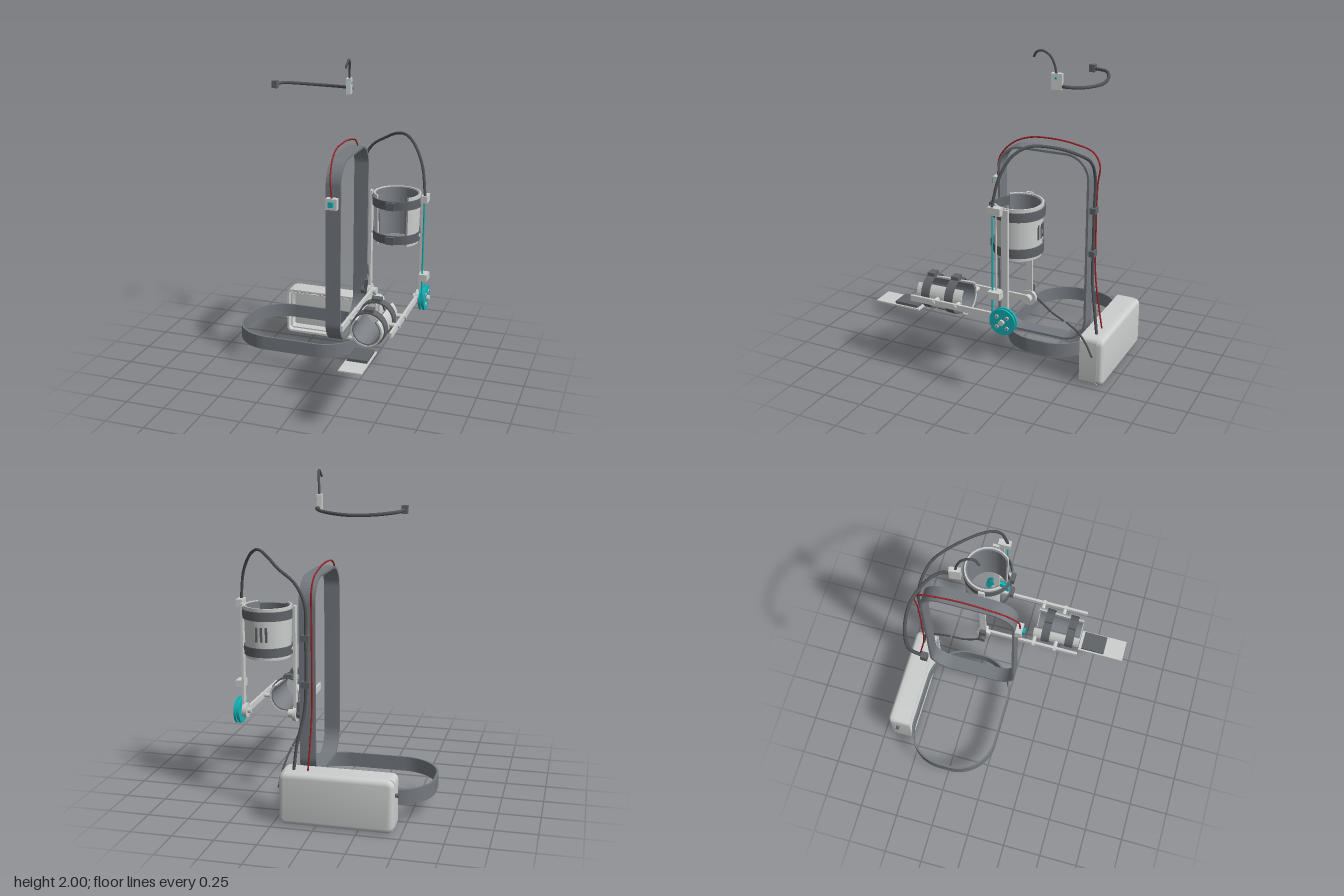
import * as THREE from 'three';
import { toCreasedNormals } from 'three/addons/utils/BufferGeometryUtils.js';

const mat = (name, color, side = THREE.FrontSide) => {
  const m = new THREE.MeshStandardMaterial({ color, side });
  m.name = name;
  return m;
};

export function createModel() {
  const root = new THREE.Group();
  root.name = 'wearableArmSupport';
  const shell = mat('lightGreyShell', 0xcdcfcf);
  const webbing = mat('greyWebbing', 0x757a80);
  const dark = mat('darkGreyFitting', 0x606468);
  const liner = mat('greyLiner', 0x7c8085);
  const cable = mat('charcoalCable', 0x505356);
  const teal = mat('tealAccent', 0x12b4b8);
  const red = mat('redCable', 0x9c2226);

  const add = (name, geo, material, parent = root) => {
    const m = new THREE.Mesh(geo, material);
    m.name = name;
    parent.add(m);
    return m;
  };
  // Box given by its minimum and maximum corners
  const box = (name, a, b, material, parent) => {
    const m = add(name, new THREE.BoxGeometry(b[0] - a[0], b[1] - a[1], b[2] - a[2]), material, parent);
    m.position.set((a[0] + b[0]) / 2, (a[1] + b[1]) / 2, (a[2] + b[2]) / 2);
    return m;
  };
  // Cylinder along x between x0 and x1
  const axle = (name, x0, x1, y, z, r, material, sides = 32) => {
    const m = add(name, new THREE.CylinderGeometry(r, r, x1 - x0, sides).rotateZ(Math.PI / 2), material);
    m.position.set((x0 + x1) / 2, y, z);
    return m;
  };
  const tube = (name, pts, r, material) => {
    const curve = new THREE.CatmullRomCurve3(pts.map(p => new THREE.Vector3(...p)));
    add(name, new THREE.TubeGeometry(curve, pts.length * 10, r, 8), material);
    for (const p of [pts[0], pts[pts.length - 1]]) {
      add(name + 'End', new THREE.SphereGeometry(r, 8, 6), material).position.set(...p);
    }
  };
  const roundRect = (w, h, r, Type = THREE.Shape) => {
    const s = new Type(), x = w / 2, y = h / 2;
    s.absarc(x - r, y - r, r, 0, Math.PI / 2);
    s.absarc(-x + r, y - r, r, Math.PI / 2, Math.PI);
    s.absarc(-x + r, -y + r, r, Math.PI, Math.PI * 1.5);
    s.absarc(x - r, -y + r, r, Math.PI * 1.5, Math.PI * 2);
    s.closePath();
    return s;
  };
  // Band with a rounded rectangular outline, centred on its own middle
  const band = (w, h, r, t, width) => {
    const s = roundRect(w, h, r);
    s.holes.push(roundRect(w - 2 * t, h - 2 * t, r - t, THREE.Path));
    const g = new THREE.ExtrudeGeometry(s, { depth: width, bevelEnabled: false, curveSegments: 14 });
    return toCreasedNormals(g.translate(0, 0, -width / 2), 0.6);
  };

  // Shoulder loop and waist belt
  add('shoulderLoop', band(0.585, 1.195, 0.15, 0.014, 0.095).rotateY(Math.PI / 2), webbing)
    .position.set(0.078, 0.822, -0.262);
  add('waistBelt', band(0.83, 0.575, 0.25, 0.012, 0.09).rotateX(-Math.PI / 2), webbing)
    .position.set(-0.22, 0.17, -0.267);

  // Back pack: open tray with a rounded back
  const pack = new THREE.Group();
  pack.name = 'backPack';
  pack.position.set(-0.12, 0.1625, 0);
  root.add(pack);
  add('packWall', band(0.67, 0.315, 0.032, 0.014, 0.11), shell, pack).position.z = -0.61;
  const backGeo = new THREE.ExtrudeGeometry(roundRect(0.61, 0.255, 0.012), {
    depth: 0.01, bevelThickness: 0.03, bevelSize: 0.03, bevelSegments: 5, curveSegments: 6 });
  add('packBack', toCreasedNormals(backGeo, 0.6), shell, pack).position.z = -0.675;
  add('packInnerRim', band(0.62, 0.265, 0.02, 0.008, 0.06), shell, pack).position.z = -0.6;
  [[-0.41, -0.29, dark], [-0.24, -0.11, red], [-0.1, -0.03, teal], [-0.02, 0.13, dark]].forEach(([a, b, m]) =>
    box('circuitModule', [a, 0.298, -0.625], [b, 0.307, -0.57], m));
  axle('packKnob', -0.475, -0.45, 0.22, -0.64, 0.012, dark, 16);

  // Arm cuffs: open towards local +y, running along local +z
  const arcRing = (r0, r1, gap, depth) => {
    const s = new THREE.Shape(), a = Math.PI / 2 + gap, b = Math.PI * 2.5 - gap;
    s.absarc(0, 0, r1, a, b, false);
    if (gap > 0) {
      s.absarc(0, 0, r0, b, a, true);
    } else {
      s.holes.push(new THREE.Path().absarc(0, 0, r0, 0, Math.PI * 2, true));
    }
    return new THREE.ExtrudeGeometry(s, { depth, bevelEnabled: false, curveSegments: 40 });
  };
  const cuff = (name, r, length, taper, bands) => {
    const g = new THREE.Group();
    g.name = name;
    root.add(g);
    const scaleAt = z => 1 - taper * z / length;
    const tapered = geo => {
      const p = geo.attributes.position;
      for (let i = 0; i < p.count; i++) {
        const k = scaleAt(p.getZ(i));
        p.setXY(i, p.getX(i) * k, p.getY(i) * k);
      }
      return toCreasedNormals(geo, 0.6);
    };
    add('cuffShell', tapered(arcRing(r - 0.01, r, 0.75, length)), shell, g);
    add('cuffLiner', tapered(arcRing(r - 0.02, r - 0.01, 0.7, length - 0.01).translate(0, 0, 0.005)), liner, g);
    for (const z of bands) {
      add('cuffStrap', tapered(arcRing(r + 0.001, r + 0.01, 0, 0.055).translate(0, 0, z)), dark, g);
      const top = (r + 0.005) * scaleAt(z);
      box('strapBuckle', [-0.028, top, z + 0.004], [0.028, top + 0.022, z + 0.051], dark, g);
    }
    for (const x of [-0.03, 0, 0.03]) {
      const y = -Math.sqrt(r * r - x * x) * scaleAt(length / 2);
      box('ventSlot', [x - 0.007, y - 0.004, length * 0.36], [x + 0.007, y + 0.004, length * 0.64], dark, g);
    }
    return g;
  };
  const upperCuff = cuff('upperArmCuff', 0.146, 0.315, 0.07, [0.02, 0.24]);
  upperCuff.rotation.x = Math.PI / 2;
  upperCuff.position.set(0.405, 1.195, -0.24);
  cuff('forearmCuff', 0.104, 0.305, 0.08, [0.055, 0.215]).position.set(0.405, 0.525, 0.087);

  // Linkage bars and pins, mirrored about the arm centre
  for (const s of [-1, 1]) {
    const bar = (name, x0, x1, y0, y1, z0, z1) => {
      const xs = [0.405 + s * x0, 0.405 + s * x1].sort((a, b) => a - b);
      box(name, [xs[0], y0, z0], [xs[1], y1, z1], shell);
    };
    bar('upperArmBar', 0.157, 0.172, 0.525, 1.195, -0.255, -0.215);
    bar('forearmBar', 0.14, 0.156, 0.507, 0.543, -0.235, 0.4);
    for (const [y, z, r] of [[0.525, 0.1, 0.095], [0.525, 0.245, 0.09], [1.15, -0.235, 0.135], [0.93, -0.235, 0.125]]) {
      const xs = [0.405 + s * r, 0.405 + s * 0.165].sort((a, b) => a - b);
      axle('cuffPin', xs[0], xs[1], y, z, 0.014, shell, 16);
    }
  }

  // Elbow: sensor on the inner side, pulley on the outer side
  const ey = 0.525, ez = -0.235;
  axle('sensorBody', 0.185, 0.235, ey, ez, 0.024, dark);
  box('sensorPlate', [0.207, 0.5, -0.255], [0.23, 0.6, -0.215], dark);
  axle('innerHub', 0.232, 0.252, ey, ez, 0.047, shell);
  axle('innerHubStep', 0.25, 0.285, ey, ez, 0.025, shell);
  axle('outerHub', 0.545, 0.572, ey, ez, 0.045, shell);
  axle('outerAxle', 0.525, 0.628, ey, ez, 0.017, shell);
  axle('pulleyFlange', 0.576, 0.588, ey, ez, 0.08, teal, 48);
  axle('pulleyCore', 0.586, 0.602, ey, ez, 0.066, teal, 48);
  axle('pulleyFlange', 0.6, 0.612, ey, ez, 0.08, teal, 48);
  for (let i = 0; i < 4; i++) {
    const a = Math.PI / 4 + i * Math.PI / 2;
    const y = ey + 0.045 * Math.sin(a), z = ez + 0.045 * Math.cos(a);
    axle('pulleyBolt', 0.605, 0.619, y, z, 0.012, shell, 6);
    axle('boltSocket', 0.618, 0.621, y, z, 0.005, dark, 6);
  }

  // Cable guides and pull cord
  box('upperCableGuide', [0.574, 1.167, -0.225], [0.614, 1.212, -0.147], shell);
  box('lowerCableGuide', [0.574, 0.662, -0.225], [0.626, 0.706, -0.15], shell);
  tube('pullCord', [[0.594, 1.18, -0.168], [0.594, 0.85, -0.168], [0.594, 0.54, -0.166]], 0.005, teal);
  tube('cordSleeve', [[0.588, 1.18, -0.188], [0.588, 0.95, -0.188], [0.588, 0.68, -0.188]], 0.005, shell);

  // Hand plate with pad
  box('handPlate', [0.335, 0.402, 0.395], [0.475, 0.411, 0.7], shell);
  box('handPad', [0.345, 0.411, 0.415], [0.465, 0.428, 0.568], dark);

  // Drive cable from the guide over the shoulder to the pack
  tube('driveCable', [[0.598, 1.2, -0.165], [0.568, 1.38, -0.2], [0.51, 1.49, -0.25], [0.44, 1.535, -0.32],
    [0.34, 1.515, -0.44], [0.25, 1.465, -0.53], [0.14, 1.39, -0.57], [0.085, 1.28, -0.576], [0.08, 1.08, -0.573],
    [0.08, 0.81, -0.573], [0.09, 0.65, -0.578], [0.125, 0.47, -0.61], [0.14, 0.31, -0.635]], 0.009, cable);
  for (const y of [0.812, 1.082]) box('cableClip', [0.058, y - 0.018, -0.59], [0.108, y + 0.018, -0.553], dark);

  // Red signal cable and hand switch on the front of the loop
  tube('signalCable', [[0.077, 1.2, 0.055], [0.065, 1.32, 0.045], [0.05, 1.41, -0.03], [0.04, 1.455, -0.13],
    [0.04, 1.468, -0.27], [0.04, 1.455, -0.42], [0.04, 1.42, -0.54], [0.042, 1.35, -0.585], [0.045, 1.22, -0.576],
    [0.045, 0.9, -0.574], [0.045, 0.65, -0.58], [0.05, 0.45, -0.61], [0.056, 0.31, -0.636]], 0.005, red);
  box('switchBody', [0.042, 1.135, 0.03], [0.114, 1.205, 0.07], shell);
  box('switchButton', [0.062, 1.155, 0.07], [0.094, 1.188, 0.085], teal);

  // Two-part elbow sensor lead
  tube('sensorLead', [[0.197, 0.525, -0.235], [0.19, 0.49, -0.28], [0.192, 0.43, -0.36], [0.2, 0.395, -0.44]], 0.006, cable);
  tube('sensorLead', [[0.203, 0.387, -0.465], [0.21, 0.345, -0.54], [0.222, 0.28, -0.6], [0.23, 0.21, -0.64]], 0.006, cable);

  // Headset: ear unit, hook and front boom
  const ear = box('earUnit', [0.047, 1.77, -0.35], [0.077, 1.865, -0.285], shell);
  ear.rotation.y = 0.15;
  axle('earLight', 0.07, 0.081, 1.838, -0.316, 0.007, teal, 16);
  tube('earHook', [[0.065, 1.86, -0.314], [0.068, 1.91, -0.305], [0.077, 1.965, -0.28], [0.087, 1.993, -0.235],
    [0.09, 1.985, -0.205], [0.085, 1.955, -0.183]], 0.007, cable);
  tube('headBoom', [[0.06, 1.79, -0.33], [0.062, 1.79, -0.38], [0.02, 1.783, -0.44], [-0.09, 1.775, -0.495],
    [-0.19, 1.773, -0.51], [-0.315, 1.779, -0.488], [-0.41, 1.788, -0.435], [-0.433, 1.792, -0.35]], 0.01, cable);
  box('boomTip', [-0.452, 1.77, -0.358], [-0.417, 1.816, -0.322], dark);

  return root;
}
